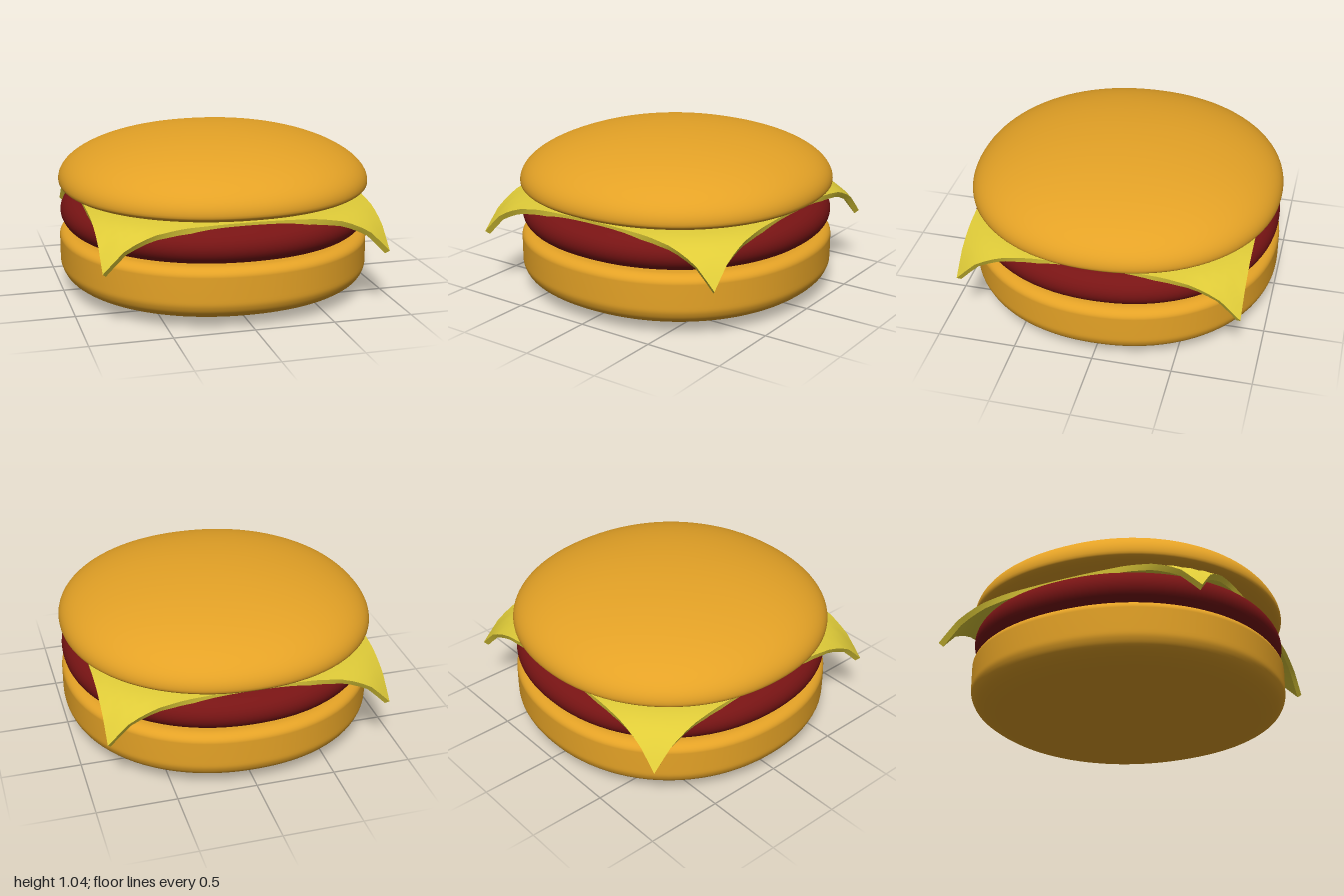
import * as THREE from 'three';
import { mergeVertices } from 'three/addons/utils/BufferGeometryUtils.js';

const BUN = 0xe4a226, PATTY = 0x781414, CHEESE = 0xdfcb38;

function addMesh(group, name, geometry, color) {
  const mesh = new THREE.Mesh(geometry, new THREE.MeshStandardMaterial({ color }));
  mesh.name = name;
  group.add(mesh);
}

// Turned shape whose plan is a very slightly squared circle
function roundedDisc(profile) {
  let geo = new THREE.LatheGeometry(profile, 96);
  const pos = geo.attributes.position, n = 2.12;
  for (let i = 0; i < pos.count; i++) {
    const x = pos.getX(i), z = pos.getZ(i), r = Math.hypot(x, z);
    if (r < 1e-6) continue;
    const k = Math.pow(Math.abs(x / r) ** n + Math.abs(z / r) ** n, -1 / n);
    pos.setX(i, x * k);
    pos.setZ(i, z * k);
  }
  geo.deleteAttribute('uv');
  geo.deleteAttribute('normal');
  geo = mergeVertices(geo, 1e-5);
  geo.computeVertexNormals();
  return geo;
}

// Quarter-ellipse points, from angle a0 to a1 (degrees)
function arc(cx, cy, rx, ry, a0, a1, steps) {
  return Array.from({ length: steps + 1 }, (_, i) => {
    const a = THREE.MathUtils.degToRad(a0 + (a1 - a0) * i / steps);
    return new THREE.Vector2(Math.max(0, cx + rx * Math.cos(a)), cy + ry * Math.sin(a));
  });
}

const centre = y => new THREE.Vector2(0, y);

// Height of the cheese's top face at distance r from the middle
const drape = [[0, 0.66], [0.6, 0.66], [0.8, 0.648], [0.89, 0.635], [0.98, 0.625],
  [1.07, 0.595], [1.164, 0.525], [1.26, 0.385]];
function cheeseHeight(r) {
  let i = 0;
  while (i < drape.length - 2 && r > drape[i + 1][0]) i++;
  const [r0, y0] = drape[i], [r1, y1] = drape[i + 1];
  return y0 + (y1 - y0) * (r - r0) / (r1 - r0);
}

// Square slice draped downwards at its corners
function cheeseSlice(half, thickness) {
  const geo = new THREE.BoxGeometry(half * 2, thickness, half * 2, 28, 1, 28);
  const pos = geo.attributes.position, e = 0.04;
  for (let i = 0; i < pos.count; i++) {
    const x = pos.getX(i), z = pos.getZ(i), r = Math.hypot(x, z);
    const y = cheeseHeight(r);
    if (pos.getY(i) > 0) {
      pos.setY(i, y);
      continue;
    }
    // underside is offset along the surface normal
    const slope = (cheeseHeight(r + e) - cheeseHeight(Math.max(0, r - e))) / (e + Math.min(r, e));
    const len = Math.hypot(1, slope);
    const k = r > 1e-6 ? 1 + thickness * slope / len / r : 1;
    pos.setXYZ(i, x * k, y - thickness / len, z * k);
  }
  geo.computeVertexNormals();
  return geo;
}

export function createModel() {
  const group = new THREE.Group();
  group.name = 'cheeseburger';

  // Bottom bun: shallow bowed base, upright wall, small rounded top edge
  const base = new THREE.SplineCurve([[0, 0], [0.4, 0.005], [0.7, 0.02], [0.87, 0.05],
    [0.96, 0.095], [0.995, 0.15], [1, 0.2]].map(p => new THREE.Vector2(...p)));
  addMesh(group, 'bottomBun', roundedDisc([
    ...base.getPoints(28),
    ...arc(0.93, 0.335, 0.07, 0.055, 0, 90, 8),
    new THREE.Vector2(0.8, 0.39), centre(0.39),
  ]), BUN);

  // Patty: flat disc with a fully rounded rim
  addMesh(group, 'patty', roundedDisc([
    centre(0.388), new THREE.Vector2(0.7, 0.388),
    ...arc(0.855, 0.504, 0.137, 0.116, -90, 90, 20),
    new THREE.Vector2(0.7, 0.62), centre(0.62),
  ]), PATTY);

  addMesh(group, 'cheeseSlice', cheeseSlice(0.89, 0.037), CHEESE);

  // Top bun: flat underside, tight lower edge, broad dome
  addMesh(group, 'topBun', roundedDisc([
    centre(0.65), new THREE.Vector2(0.75, 0.65),
    ...arc(0.88, 0.705, 0.12, 0.052, -90, -10, 8),
    ...arc(0, 0.71, 1, 0.33, 0, 90, 32),
  ]), BUN);

  return group;
}
